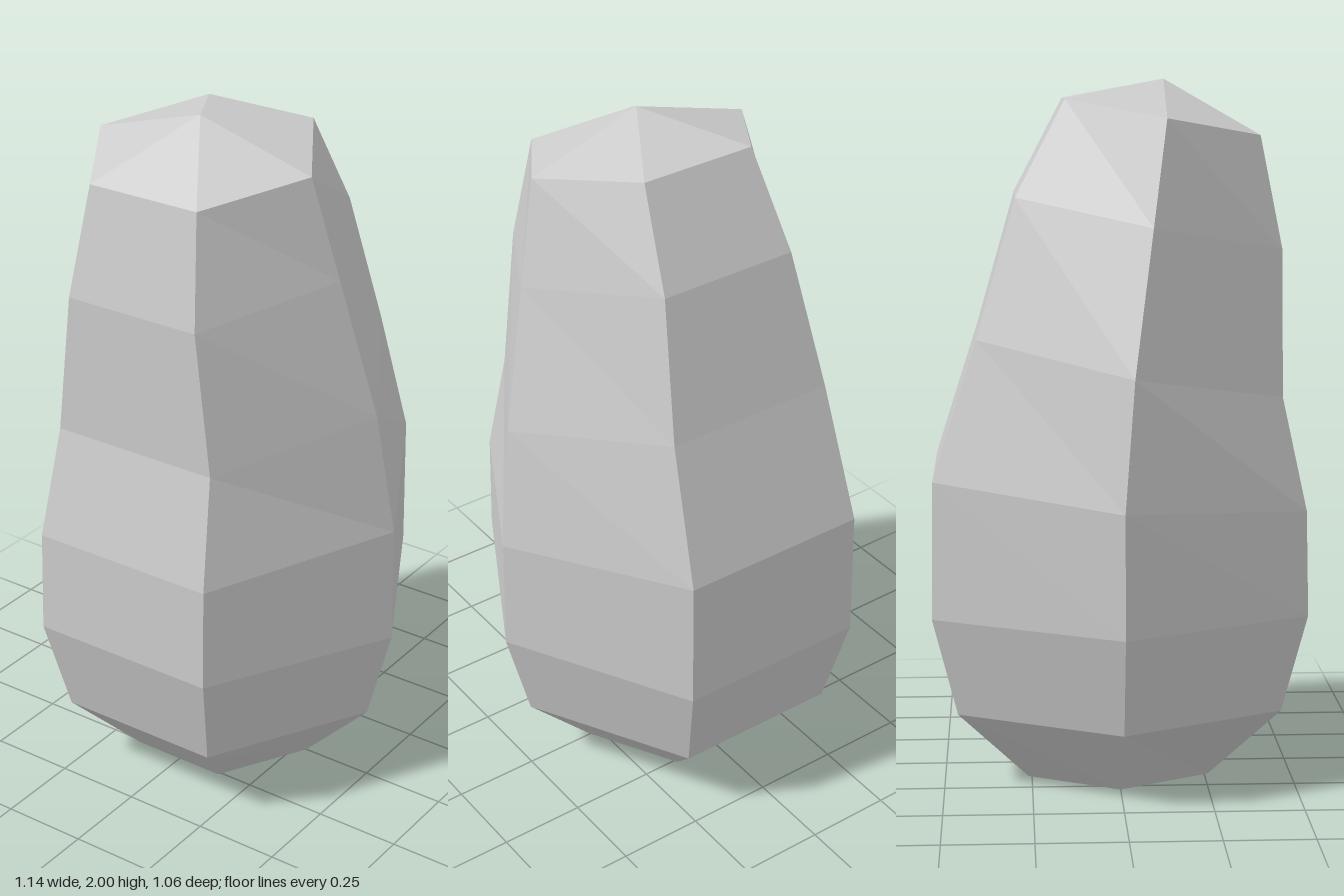
import * as THREE from 'three';

const SIDES = 6;

// Tilted hexagonal sections: [radius, frontY, frontZ, backY, backZ]
const SECTIONS = [
  [0.285, 0, 0.26, 0, -0.26],
  [0.495, 0.215, 0.46, 0.215, -0.46],
  [0.57, 0.5, 0.53, 0.5, -0.53],
  [0.565, 0.8, 0.523, 0.89, -0.525],
  [0.515, 1.12, 0.455, 1.285, -0.4],
  [0.42, 1.53, 0.455, 1.675, -0.29],
  [0.35, 1.845, 0.395, 1.945, -0.15],
];

function sectionPoints([radius, frontY, frontZ, backY, backZ]) {
  const points = [];
  for (let i = 0; i < SIDES; i++) {
    const a = (i / SIDES) * Math.PI * 2;
    // 0 at the front edge, 1 at the back edge
    const t = 0.5 - Math.sin(a) / Math.sqrt(3);
    points.push([
      radius * Math.cos(a),
      THREE.MathUtils.lerp(frontY, backY, t),
      THREE.MathUtils.lerp(frontZ, backZ, t),
    ]);
  }
  return points;
}

function createBodyGeometry() {
  const positions = SECTIONS.flatMap(sectionPoints);
  const bottom = positions.push([0, 0, 0]) - 1;
  const top = positions.push([0, 2, 0.135]) - 1;
  const last = (SECTIONS.length - 1) * SIDES;
  const index = [];

  for (let i = 0; i < SIDES; i++) {
    const j = (i + 1) % SIDES;
    // Side panels
    for (let r = 0; r < last; r += SIDES) {
      const a = r + i, b = r + j, c = b + SIDES, d = a + SIDES;
      index.push(a, d, c, a, c, b);
    }
    // Base and peaked cap
    index.push(bottom, i, j);
    index.push(top, last + j, last + i);
  }

  const indexed = new THREE.BufferGeometry();
  indexed.setAttribute('position', new THREE.Float32BufferAttribute(positions.flat(), 3));
  indexed.setIndex(index);
  const geometry = indexed.toNonIndexed();
  geometry.computeVertexNormals();
  return geometry;
}

export function createModel() {
  const group = new THREE.Group();
  group.name = 'facetedStone';
  const material = new THREE.MeshStandardMaterial({ color: 0xcccccc, flatShading: true });
  const body = new THREE.Mesh(createBodyGeometry(), material);
  body.name = 'stoneBody';
  group.add(body);
  return group;
}
